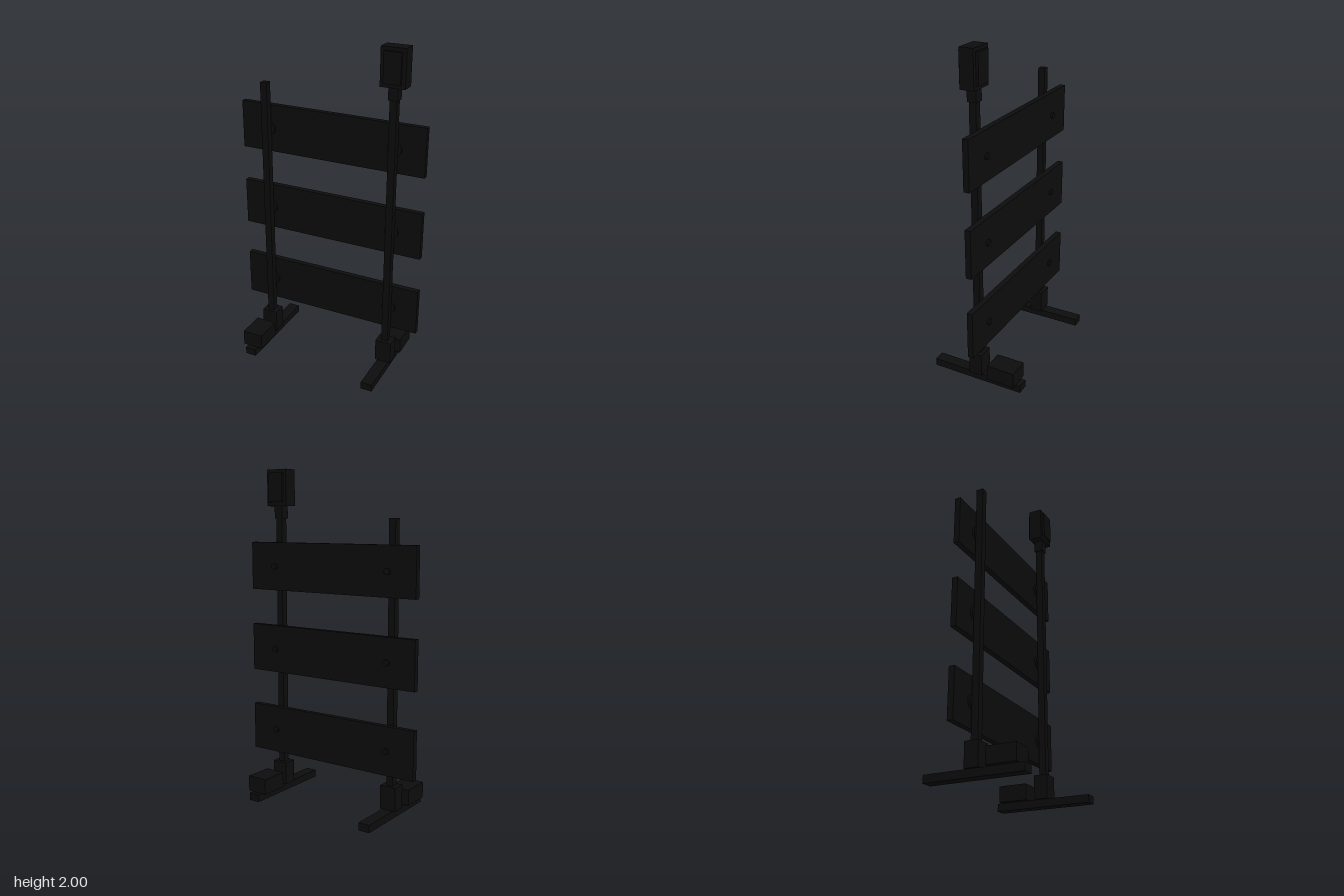
import * as THREE from 'three';

export function createModel() {
  const model = new THREE.Group();
  const black = new THREE.MeshStandardMaterial({ color: 0x0c0c0c });
  black.name = 'matte black';

  function add(parent, name, geometry, x, y, z) {
    const mesh = new THREE.Mesh(geometry, black);
    mesh.name = name;
    mesh.position.set(x, y, z);
    parent.add(mesh);
    return mesh;
  }
  // box given by its centre in x and z and its bottom and top in y
  const box = (parent, name, w, d, bottom, top, x = 0, z = 0) =>
    add(parent, name, new THREE.BoxGeometry(w, top - bottom, d), x, (bottom + top) / 2, z);
  // disc lying in the xy plane, from z0 back to z1
  const disc = (parent, name, r, x, y, z0, z1) =>
    add(parent, name, new THREE.CylinderGeometry(r, r, z0 - z1, 20).rotateX(Math.PI / 2), x, y, (z0 + z1) / 2);

  const postX = 0.4;
  const boardY = [0.403, 0.914, 1.422];

  // uprights on feet, each foot weighted at the opposite end
  for (const side of [-1, 1]) {
    const stand = new THREE.Group();
    stand.name = side > 0 ? 'leftStand' : 'rightStand';
    stand.position.x = side * postX;
    box(stand, 'foot', 0.07, 0.58, 0, 0.045);
    box(stand, 'postSocket', 0.1, 0.082, 0.045, 0.185);
    box(stand, 'footWeight', 0.13, 0.173, 0.045, 0.14, 0, -side * 0.175);
    box(stand, 'post', 0.042, 0.042, 0.045, 1.71);
    // spacer and bolt for every board
    for (const y of boardY) {
      disc(stand, 'boardSpacer', 0.043, 0, y, -0.018, -0.034);
      disc(stand, 'boltHead', 0.019, 0, y, -0.06, -0.079);
    }
    model.add(stand);
  }

  // cross boards
  for (const y of boardY) box(model, 'board', 1.16, 0.035, y - 0.145, y + 0.145, 0, -0.049);

  // warning lamp on the left post
  const lamp = new THREE.Group();
  lamp.name = 'warningLamp';
  lamp.position.x = postX;
  box(lamp, 'lampCollar', 0.056, 0.056, 1.71, 1.79);
  box(lamp, 'lampHousing', 0.145, 0.084, 1.783, 2);
  for (const s of [-1, 1]) box(lamp, 'lampLens', 0.1, 0.018, 1.806, 1.98, 0, s * 0.048);
  model.add(lamp);

  return model;
}
